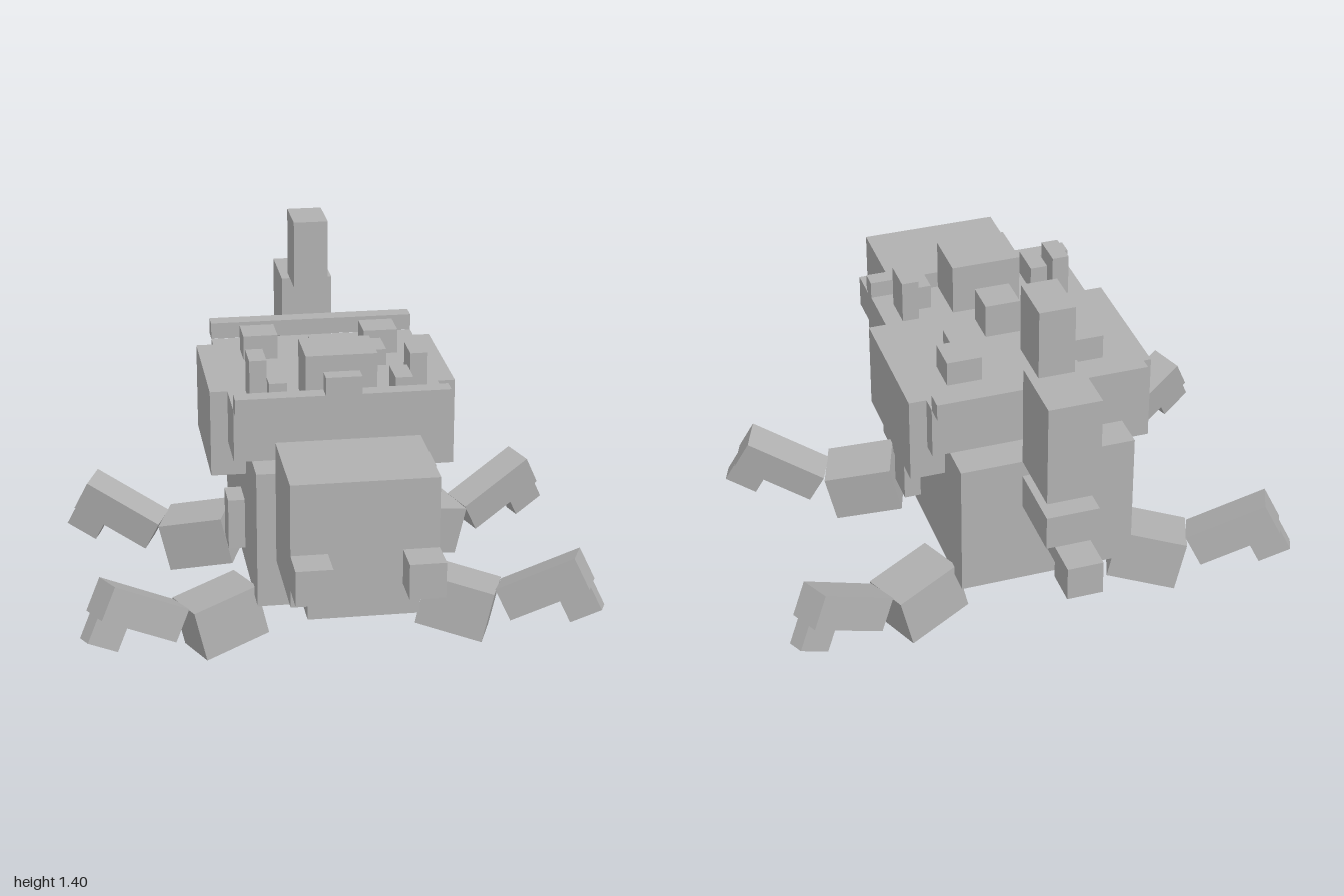
import * as THREE from 'three';

export function createModel() {
  const model = new THREE.Group();
  model.name = 'shelledCreature';
  const grey = new THREE.MeshStandardMaterial({ color: 0xb0b0b0 });
  grey.name = 'grey';

  // Axis-aligned block from its limits on each axis
  const block = (name, x0, x1, y0, y1, z0, z1) => {
    const mesh = new THREE.Mesh(new THREE.BoxGeometry(x1 - x0, y1 - y0, z1 - z0), grey);
    mesh.name = name;
    mesh.position.set((x0 + x1) / 2, (y0 + y1) / 2, (z0 + z1) / 2);
    model.add(mesh);
  };
  // Block centred on x = 0
  const mid = (name, hx, ...r) => block(name, -hx, hx, ...r);
  // Mirrored pair of blocks
  const pair = (name, x0, x1, ...r) => {
    block(name + 'Left', x0, x1, ...r);
    block(name + 'Right', -x1, -x0, ...r);
  };

  // Body and shell
  mid('body', 0.327, 0.23, 0.75, -0.602, 0.442);
  mid('shellWide', 0.457, 0.62, 0.95, -0.408, 0.115);
  mid('shellLong', 0.392, 0.75, 0.95, -0.472, 0.314);
  mid('shellRimFront', 0.392, 0.95, 1.013, 0.314, 0.377);
  mid('shellRimBack', 0.392, 0.95, 1.013, -0.54, -0.474);
  pair('sideFin', 0.32, 0.39, 0.29, 0.487, -0.08, 0.05);

  // Lumps on the shell
  mid('rimKnob', 0.066, 0.95, 1.08, 0.314, 0.377);
  mid('frontLump', 0.13, 0.95, 1.142, 0.118, 0.314);
  mid('middleLump', 0.066, 0.95, 1.08, -0.08, 0.05);
  pair('tallSpike', 0.262, 0.325, 0.95, 1.11, 0.118, 0.246);
  pair('shortSpike', 0.197, 0.262, 0.95, 1.044, 0.18, 0.312);
  pair('backLump', 0.165, 0.295, 0.95, 1.044, -0.342, -0.214);
  block('lowLump', 0.165, 0.23, 0.95, 1.013, -0.214, -0.083);

  // Head
  mid('neck', 0.228, 0.36, 0.69, 0.44, 0.54);
  mid('head', 0.261, 0.425, 0.882, 0.475, 0.87);
  mid('jaw', 0.198, 0.36, 0.428, 0.578, 0.84);
  pair('snoutKnob', 0.131, 0.261, 0.49, 0.62, 0.868, 1);

  // Tail
  mid('tailBase', 0.098, 0.556, 0.687, -0.866, -0.6);
  mid('tailUnderside', 0.066, 0.49, 0.558, -0.866, -0.67);
  mid('tailTip', 0.066, 0.425, 0.555, -1, -0.866);
  mid('backPillar', 0.098, 0.75, 1.142, -0.866, -0.602);
  mid('pillarTop', 0.066, 1.142, 1.405, -0.67, -0.475);

  // Legs: chained rotations (roll, yaw, bend) in degrees; the other three are reflections
  const turn = (roll, yaw, bend) => {
    const r = THREE.MathUtils.degToRad;
    return new THREE.Matrix4().makeRotationZ(r(roll))
      .multiply(new THREE.Matrix4().makeRotationY(r(yaw)))
      .multiply(new THREE.Matrix4().makeRotationZ(r(bend)));
  };
  const upperTurn = turn(-13, -20, 0);
  const lowerTurn = turn(-13, -23, 40);
  const legParts = [
    ['upperLeg', [0.262, 0.197, 0.197], [0.449, 0.133, 0.293], upperTurn],
    ['lowerLeg', [0.328, 0.131, 0.131], [0.76, 0.22, 0.387], lowerTurn],
    ['foot', [0.131, 0.1, 0.066], [0.889, 0.164, 0.44], lowerTurn],
  ];
  for (const sx of [1, -1]) for (const sz of [1, -1]) {
    const leg = new THREE.Group();
    leg.name = (sz > 0 ? 'front' : 'back') + 'Leg' + (sx > 0 ? 'Left' : 'Right');
    for (const [name, size, [x, y, z], rot] of legParts) {
      const along = new THREE.Vector3(), up = new THREE.Vector3(), across = new THREE.Vector3();
      rot.extractBasis(along, up, across);
      for (const v of [along, up]) v.set(v.x * sx, v.y, v.z * sz);
      across.crossVectors(along, up);
      const mesh = new THREE.Mesh(new THREE.BoxGeometry(...size), grey);
      mesh.name = name;
      mesh.setRotationFromMatrix(new THREE.Matrix4().makeBasis(along, up, across));
      mesh.position.set(x * sx, y, sz > 0 ? z : -0.165 - z);
      leg.add(mesh);
    }
    model.add(leg);
  }
  return model;
}
